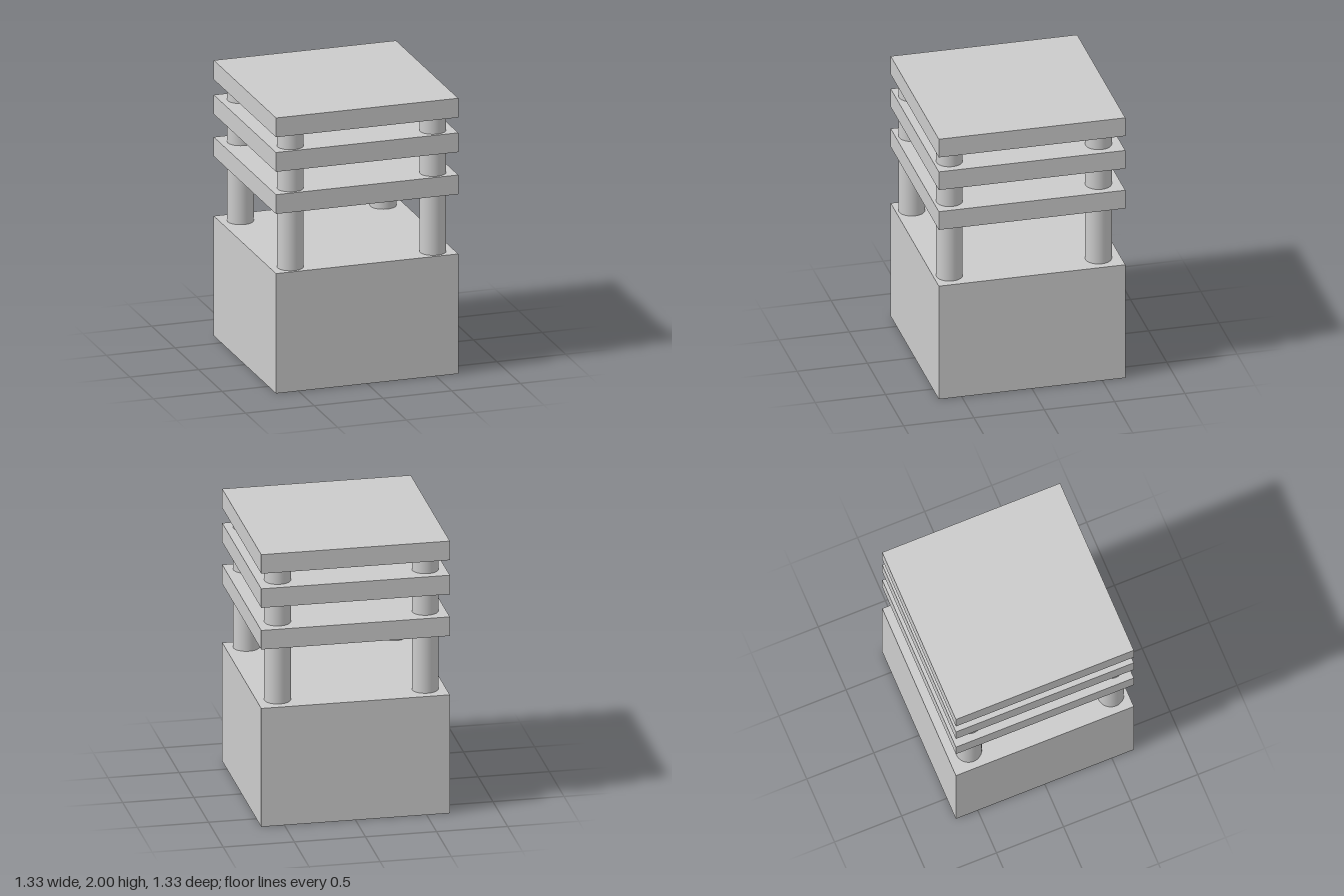
import * as THREE from 'three';

export function createModel() {
  const model = new THREE.Group();
  const grey = new THREE.MeshStandardMaterial({ color: 0xcccccc });
  grey.name = 'light grey';

  const width = 1.326;
  const baseTop = 0.87;
  const slabThickness = 0.14;
  const slabBottoms = [1.303, 1.609, 1.86];

  // Square block spanning the full footprint
  function addBlock(name, bottom, height) {
    const mesh = new THREE.Mesh(new THREE.BoxGeometry(width, height, width), grey);
    mesh.name = name;
    mesh.position.y = bottom + height / 2;
    model.add(mesh);
  }

  // Solid base and the three stacked slabs
  addBlock('base', 0, baseTop);
  const slabNames = ['lowerSlab', 'middleSlab', 'topSlab'];
  slabBottoms.forEach((bottom, i) => addBlock(slabNames[i], bottom, slabThickness));

  // Four round columns, one near each corner, in the gaps between the blocks
  const columnRadius = 0.092;
  const floors = [baseTop, ...slabBottoms.slice(0, 2).map((b) => b + slabThickness)];
  for (const [xName, x] of [['left', 0.517], ['right', -0.521]]) {
    for (const [zName, z] of [['Front', 0.55], ['Back', -0.51]]) {
      const column = new THREE.Group();
      column.name = `${xName}${zName}Column`;
      floors.forEach((floor, i) => {
        const height = slabBottoms[i] - floor;
        const segment = new THREE.Mesh(
          new THREE.CylinderGeometry(columnRadius, columnRadius, height, 40, 1, true), grey);
        segment.name = `columnSegment${i + 1}`;
        segment.position.set(x, floor + height / 2, z);
        column.add(segment);
      });
      model.add(column);
    }
  }

  return model;
}
